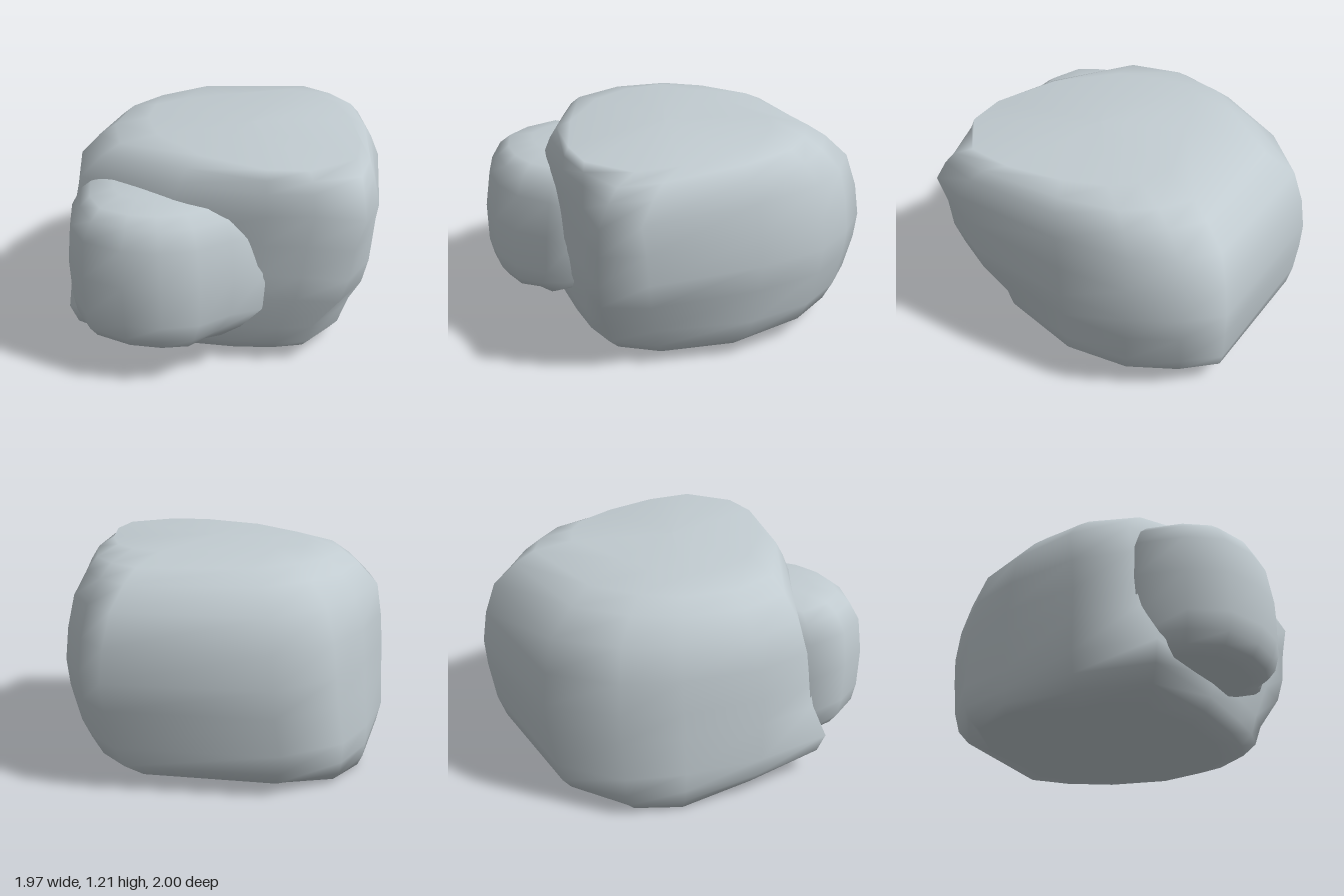
import * as THREE from 'three';

// Closed smooth skin through stacked rings of [x, y, z] points, capped at the first and last centre
function stone(name, material, rings, bottom, top) {
  const positions = [], index = [];
  const count = rings[0].length, row = rings.length + 2;
  for (let i = 0; i < count; i++) {
    positions.push(...bottom);
    for (const ring of rings) positions.push(...ring[i]);
    positions.push(...top);
    for (let j = 0; j < row - 1; j++) {
      const a = i * row + j, b = ((i + 1) % count) * row + j;
      index.push(a, a + 1, b, b, a + 1, b + 1);
    }
  }
  const geometry = new THREE.BufferGeometry();
  geometry.setAttribute('position', new THREE.Float32BufferAttribute(positions, 3));
  geometry.setIndex(index);
  geometry.computeVertexNormals();
  const mesh = new THREE.Mesh(geometry, material);
  mesh.name = name;
  return mesh;
}

// Main boulder outlines (x, z), from its left side round the front tip, right side and back
const foot = [[0.5, -0.05], [0.5, 0.25], [0.38, 0.44], [0.22, 0.52], [0.08, 0.52], [-0.12, 0.48], [-0.38, 0.35],
  [-0.62, 0.12], [-0.62, -0.2], [-0.56, -0.6], [-0.36, -0.77], [-0.02, -0.75], [0.4, -0.5], [0.48, -0.3]];
const low = [[0.91, -0.13], [0.8, 0.22], [0.48, 0.64], [0.24, 0.79], [0.06, 0.75], [-0.14, 0.66], [-0.5, 0.48],
  [-0.97, 0.18], [-0.83, -0.25], [-0.6, -0.62], [-0.38, -0.86], [0, -0.97], [0.8, -0.64], [0.88, -0.42]];
const middle = [[0.985, -0.14], [0.86, 0.23], [0.56, 0.78], [0.37, 0.955], [0.15, 0.85], [-0.07, 0.77], [-0.46, 0.51],
  [-0.91, 0.07], [-0.82, -0.25], [-0.58, -0.62], [-0.34, -0.85], [0.05, -1], [0.87, -0.65], [0.95, -0.42]];
const shoulder = [[0.93, -0.15], [0.83, 0.25], [0.57, 0.84], [0.43, 1], [0.2, 0.88], [-0.04, 0.81], [-0.47, 0.54],
  [-0.84, 0.04], [-0.77, -0.28], [-0.53, -0.58], [-0.3, -0.78], [0.05, -0.92], [0.8, -0.6], [0.89, -0.4]];
const crown = [[0.66, 0], [0.65, 0.25], [0.58, 0.55], [0.46, 0.77], [0.18, 0.84], [-0.02, 0.76], [-0.28, 0.5],
  [-0.43, 0.15], [-0.42, -0.1], [-0.33, -0.28], [-0.15, -0.32], [0.08, -0.32], [0.48, -0.28], [0.6, -0.15]];

// Ring at height y, a mix of two outlines
const blend = (y, from, to, t) => from.map(([x, z], i) =>
  [THREE.MathUtils.lerp(x, to[i][0], t), y, THREE.MathUtils.lerp(z, to[i][1], t)]);

// Lobe outline (x, z) about its own centre, and its levels: [y, left, right, back, front reach]
const lobeCentre = [-0.5, 0.3];
const lobeOutline = [[0.5, 0], [0.58, 0.3], [0.48, 0.48], [0.3, 0.485], [0.1, 0.54], [-0.1, 0.51],
  [-0.28, 0.42], [-0.45, 0.25], [-0.48, 0.03], [-0.42, -0.23], [0, -0.35]];
const lobeLevels = [
  [0.205, 0.7, 0.35, 0.6, 0.68],
  [0.24, 0.85, 0.52, 0.8, 0.87],
  [0.3, 0.94, 0.72, 0.9, 0.95],
  [0.4, 0.98, 0.95, 0.95, 1.0],
  [0.62, 1.0, 1.0, 1.0, 1.0],
  [0.82, 0.96, 1.0, 0.96, 0.93],
  [0.92, 0.84, 0.95, 0.86, 0.83],
  [0.97, 0.72, 0.8, 0.72, 0.7],
  [0.995, 0.45, 0.5, 0.5, 0.42],
];

export function createModel() {
  const group = new THREE.Group();
  group.name = 'boulder';
  const grey = new THREE.MeshStandardMaterial({ color: 0xc1cbd0 });
  grey.name = 'stone grey';

  // Main boulder with a blunt front corner and a flat top
  group.add(stone('mainBoulder', grey, [
    blend(0.008, foot, low, 0),
    blend(0.06, foot, low, 0.6),
    blend(0.13, foot, low, 0.87),
    blend(0.24, low, middle, 0),
    blend(0.45, low, middle, 0.75),
    blend(0.6, low, middle, 1),
    blend(0.78, middle, shoulder, 0.3),
    blend(0.96, middle, shoulder, 1),
    blend(1.08, shoulder, crown, 0.28),
    blend(1.15, shoulder, crown, 0.52),
    blend(1.2, shoulder, crown, 1),
  ], [0, 0, 0], [0.1, 1.208, 0.15]));

  // Smaller lobe bulging from the front right corner, running into the front face
  const [cx, cz] = lobeCentre;
  group.add(stone('sideLobe', grey, lobeLevels.map(([y, left, right, back, front]) =>
    lobeOutline.map(([x, z]) => [cx + x * (x < 0 ? left : right), y, cz + z * (z < 0 ? back : front)])),
  [cx, 0.2, cz], [cx, 1, cz]));

  return group;
}
